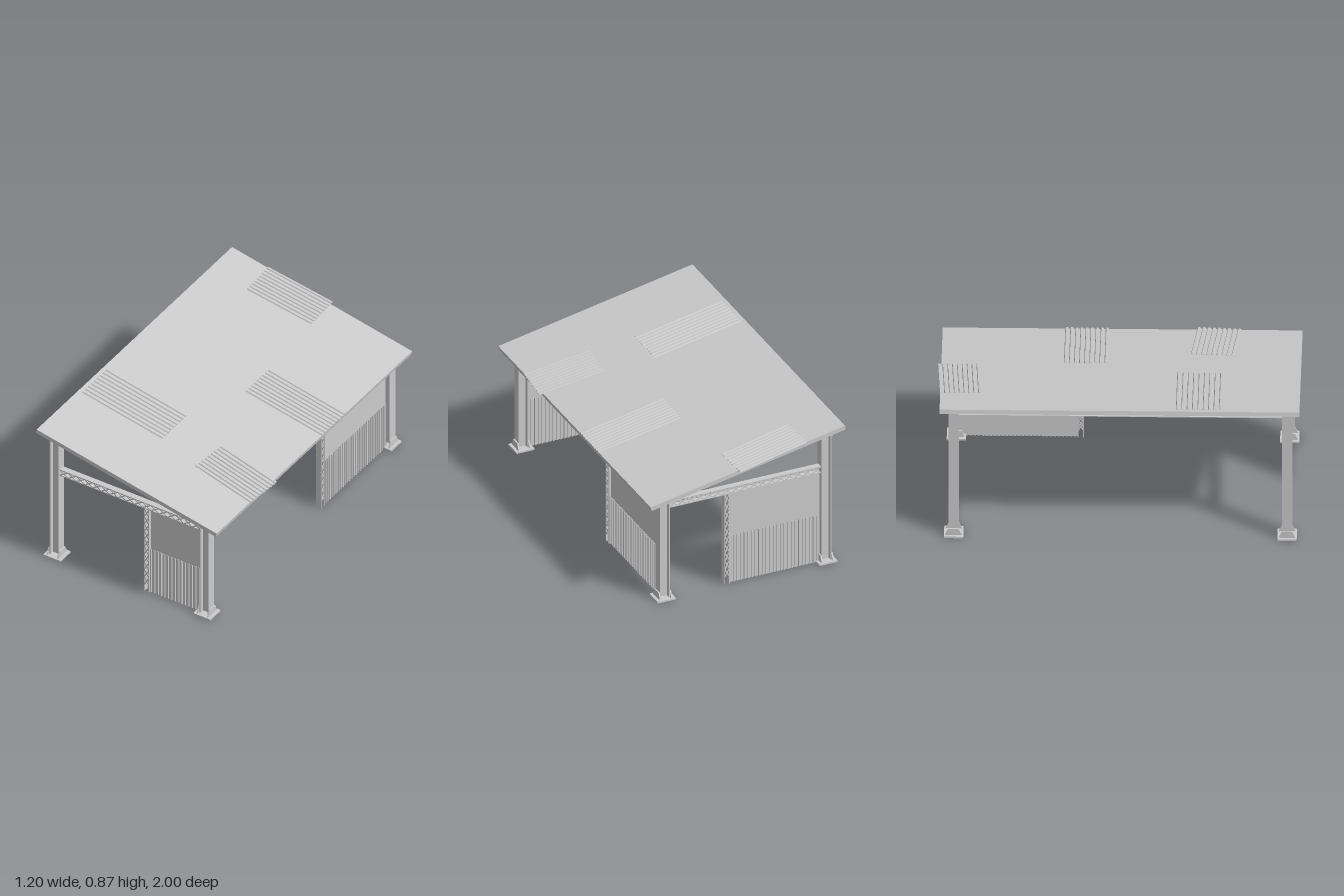
import * as THREE from 'three';

const mat = new THREE.MeshStandardMaterial({ color: 0xcccccc, side: THREE.DoubleSide });

function add(parent, name, geo, x = 0, y = 0, z = 0) {
  const m = new THREE.Mesh(geo, mat);
  m.name = name;
  m.position.set(x, y, z);
  parent.add(m);
  return m;
}
const box = (w, h, d) => new THREE.BoxGeometry(w, h, d);

function extrude(pts, depth) {
  const shape = new THREE.Shape(pts.map(([x, y]) => new THREE.Vector2(x, y)));
  return new THREE.ExtrudeGeometry(shape, { depth, bevelEnabled: false });
}

// I-section centred on the origin, running along z, flanges at +y and -y
function iBeam(length, depth, width, t = 0.006) {
  const w = width / 2, h = depth / 2, s = t / 2;
  return extrude([
    [-w, -h], [w, -h], [w, -h + t], [s, -h + t], [s, h - t], [w, h - t],
    [w, h], [-w, h], [-w, h - t], [-s, h - t], [-s, -h + t], [-w, -h + t],
  ], length).translate(0, 0, -length / 2);
}

// Ribbed sheet: ribs run along z, sheet spans x, centred on the origin
function ribbedSheet(width, length, ribs, height, t = 0.003) {
  const p = width / ribs, top = [];
  for (let i = 0; i < ribs; i++) {
    const x = -width / 2 + i * p;
    top.push([x, -height / 2], [x + p * 0.3, -height / 2], [x + p * 0.45, height / 2], [x + p * 0.85, height / 2]);
  }
  top.push([width / 2, -height / 2]);
  const bottom = top.map(([x, y]) => [x, y - t]).reverse();
  return extrude([...top, ...bottom], length).translate(0, 0, -length / 2);
}

// Box lattice along x: two plate chords with crossed bars on both faces
function lattice(name, length, height, depth, skip = 0) {
  const g = new THREE.Group();
  g.name = name;
  const t = 0.005;
  for (const s of [-1, 1]) add(g, 'chord', box(length, t, depth), 0, s * (height - t) / 2, 0);
  const run = length - skip, n = Math.round(run / 0.053), p = run / n, h = height - t;
  for (let i = 0; i < n; i++) {
    for (const s of [-1, 1]) for (const face of [-1, 1]) {
      const bar = add(g, 'latticeBar', box(Math.hypot(p, h), 0.007, 0.003),
        -length / 2 + skip + (i + 0.5) * p, 0, face * (depth / 2 - 0.002));
      bar.rotation.z = s * Math.atan2(h, p);
    }
  }
  return g;
}

// Wall along local x from a to b: flat panel, ribbed lower half
function wall(name, a, b) {
  const g = new THREE.Group();
  g.name = name;
  const w = b - a, c = (a + b) / 2;
  add(g, 'panel', box(w, 0.565, 0.004), c, 0.2825, 0);
  const ribs = ribbedSheet(w, 0.295, Math.round(w / 0.022), 0.014);
  add(g, 'ribbedCladding', ribs.rotateX(-Math.PI / 2), c, 0.1475, 0);
  return g;
}

export function createModel() {
  const model = new THREE.Group();
  model.name = 'openShed';
  const zF = 0.93, zB = -0.9, xL = -0.515, xR = 0.465, midZ = (zF + zB) / 2;

  // Columns with base plates, flared stiffeners and top brackets
  for (const [x, h, side] of [[xL, 0.828, -1], [xR, 0.628, 1]]) {
    for (const z of [zF, zB]) {
      const col = new THREE.Group();
      col.name = 'column';
      col.position.set(x, 0, z);
      model.add(col);
      add(col, 'post', iBeam(h, 0.06, 0.056).rotateX(-Math.PI / 2).rotateY(Math.PI / 2), 0, h / 2, 0);
      add(col, 'basePlate', box(0.11, 0.01, 0.106), 0, 0.005, 0);
      for (const s of [-1, 1]) {
        const flare = extrude([[-0.045, 0.01], [0.045, 0.01], [0.028, 0.05], [-0.028, 0.05]], 0.008);
        add(col, 'baseStiffener', flare.rotateY(Math.PI / 2), s > 0 ? 0.03 : -0.038, 0, 0);
      }
      add(col, 'topBracket', box(0.008, 0.04, 0.056), side * 0.034, h - 0.022, 0);
    }
  }

  // Sloping roof: slab, rafters and loose ribbed sheets share one tilted frame
  const roof = new THREE.Group();
  roof.name = 'roof';
  roof.position.set(-0.015, 0.749, 0);
  roof.rotation.z = -0.195;
  model.add(roof);
  const along = (x) => (x + 0.015) / Math.cos(0.195);
  add(roof, 'roofSlab', box(1.2, 0.025, 1.975), 0, -0.0125, 0.0105);
  for (const z of [zF, zB]) {
    const len = along(0.455) - along(-0.495);
    add(roof, 'rafter', iBeam(len, 0.036, 0.045, 0.005).rotateY(Math.PI / 2),
      (along(0.455) + along(-0.495)) / 2, -0.043, z);
  }
  for (const [x, z, len, width, turn] of [
    [-0.16, -0.87, 0.42, 0.24, 0.04],
    [0.325, -0.18, 0.51, 0.25, 0],
    [-0.318, 0.452, 0.535, 0.265, 0],
    [0.395, 0.53, 0.39, 0.25, -0.08],
  ]) {
    const sheet = add(roof, 'roofSheet', ribbedSheet(width, len, 9, 0.008).rotateY(Math.PI / 2), along(x), 0.003, z);
    sheet.rotation.y = turn;
  }

  // Eave beams along both long sides
  add(model, 'highEaveBeam', iBeam(zF - zB, 0.036, 0.045, 0.005), xL, 0.802, midZ);
  add(model, 'lowEaveBeam', iBeam(zF - zB, 0.02, 0.045, 0.004), xR, 0.618, midZ);

  // Front and back: lattice girder, lattice upright and wall
  for (const [z, a, b, name] of [[zF, 0.1, 0.435, 'frontWall'], [zB, -0.485, 0.065, 'backWall']]) {
    const side = new THREE.Group();
    side.name = name + 'Bay';
    side.position.z = z;
    const girder = lattice('latticeGirder', 0.92, 0.042, 0.035);
    girder.position.set(-0.025, 0.586, 0);
    const upright = lattice('latticeUpright', 0.565, 0.035, 0.035, 0.045);
    upright.rotation.z = Math.PI / 2;
    upright.position.set(0.0825, 0.2825, 0);
    side.add(girder, upright, wall(name, a, b));
    model.add(side);
  }

  // Low side: the same parts turned to run along z
  const low = new THREE.Group();
  low.name = 'sideWallBay';
  low.position.x = xR;
  low.rotation.y = Math.PI / 2;
  const girder = lattice('latticeGirder', 1.775, 0.042, 0.035);
  girder.position.set(-midZ, 0.586, 0);
  const upright = lattice('latticeUpright', 0.565, 0.035, 0.035, 0.045);
  upright.rotation.z = Math.PI / 2;
  upright.position.set(0.2175, 0.2825, 0);
  low.add(girder, upright, wall('sideWall', 0.235, 0.872));
  model.add(low);

  return model;
}
